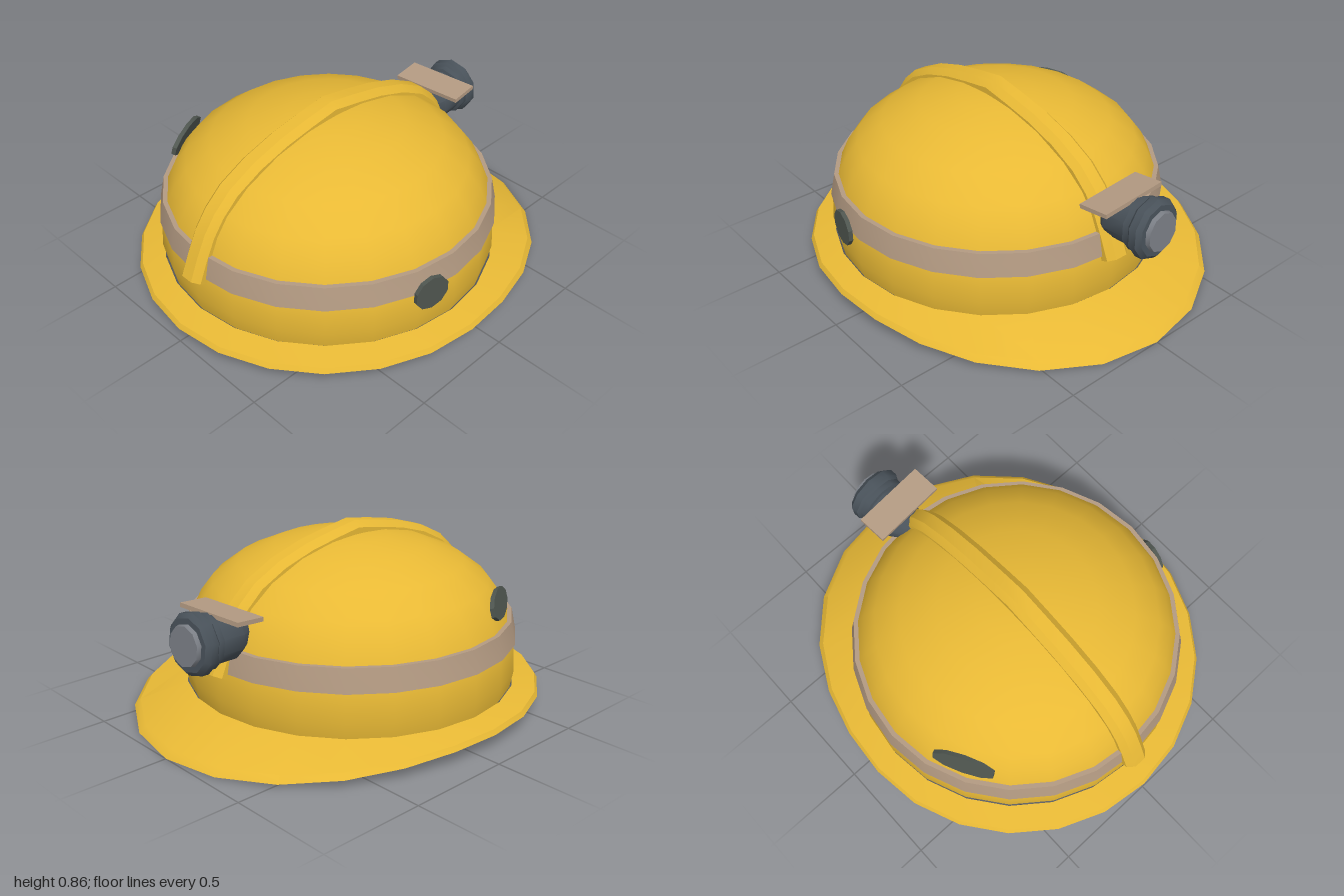
import * as THREE from 'three';
import { toCreasedNormals } from 'three/addons/utils/BufferGeometryUtils.js';

const material = (color, side = THREE.FrontSide) => new THREE.MeshStandardMaterial({ color, side });
const yellow = material(0xe8b935);
const tan = material(0xb39a82);
const dark = material(0x49525a);
const glass = material(0x7b7f86);
const patchGrey = material(0x4f5650);

const CENTRE_Z = 0.085;
const SIDES = 24;
const UP = new THREE.Vector3(0, 1, 0);

function lathe(points, sides) {
  return new THREE.LatheGeometry(points.map(([r, y]) => new THREE.Vector2(r, y)), sides);
}

function addMesh(parent, name, geometry, mat, crease = 0.5) {
  const mesh = new THREE.Mesh(toCreasedNormals(geometry, crease), mat);
  mesh.name = name;
  parent.add(mesh);
  return mesh;
}

// Brim: a turned ring, stretched and drooping towards the back
function brimGeometry() {
  const inner = 0.795, outer = 0.91;
  const geometry = lathe([[0, 0.1], [0.7, 0.1], [0.7, 0.075], [0.885, 0.073],
    [0.91, 0.088], [0.897, 0.11], [0.79, 0.13]], SIDES);
  const pos = geometry.attributes.position;
  for (let i = 0; i < pos.count; i++) {
    const x = pos.getX(i), z = pos.getZ(i), r = Math.hypot(x, z);
    if (r <= inner) continue;
    const t = (r - inner) / (outer - inner);
    const back = Math.max(0, -z / r) ** 2;
    const rx = inner + t * (outer * (1 + 0.2 * back) - inner);
    const rz = inner + t * (0.915 + 0.17 * back - inner);
    pos.setXYZ(i, x / r * rx, pos.getY(i) - 0.075 * t * back, z / r * rz);
  }
  return geometry;
}

// Crest: a chamfered section swept over the dome from front to back
function crestGeometry() {
  const half = [[0.845, 0.335], [0.8, 0.44], [0.75, 0.54], [0.69, 0.62], [0.6, 0.7],
    [0.46, 0.77], [0.3, 0.82], [0.15, 0.85]];
  const path = [...half, [0, 0.875], ...half.map(([z, y]) => [-z, y]).reverse()];
  const section = [[0.06, 0.065], [0.06, 0.03], [0.03, 0], [-0.03, 0], [-0.06, 0.03], [-0.06, 0.065]];
  const n = section.length, last = path.length - 1;
  const positions = [], index = [];
  path.forEach(([z, y], i) => {
    const a = path[Math.max(0, i - 1)], b = path[Math.min(last, i + 1)];
    const dz = b[0] - a[0], dy = b[1] - a[1], len = Math.hypot(dz, dy);
    for (const [x, depth] of section) {
      positions.push(x, y + dz / len * depth, z - dy / len * depth);
    }
  });
  for (let i = 0; i < last; i++) {
    for (let j = 0; j < n; j++) {
      const a = i * n + j, b = i * n + (j + 1) % n;
      index.push(a, a + n, b, b, a + n, b + n);
    }
  }
  for (let j = 1; j < n - 1; j++) {
    index.push(0, j, j + 1, last * n, last * n + j + 1, last * n + j);
  }
  const geometry = new THREE.BufferGeometry();
  geometry.setAttribute('position', new THREE.Float32BufferAttribute(positions, 3));
  geometry.setIndex(index);
  return geometry;
}

// Thin oval patch lying against the dome
function addPatch(parent, name, position, normal, width, height) {
  const geometry = new THREE.CylinderGeometry(1, 1, 0.02, 10).rotateX(Math.PI / 2);
  geometry.scale(width, height, 1);
  const patch = addMesh(parent, name, geometry, patchGrey);
  patch.position.set(...position);
  patch.lookAt(new THREE.Vector3(...position).add(new THREE.Vector3(...normal)));
}

export function createModel() {
  const model = new THREE.Group();
  model.name = 'helmet';

  // Shell
  const shell = new THREE.Group();
  shell.name = 'shell';
  shell.position.z = CENTRE_Z;
  model.add(shell);
  addMesh(shell, 'dome', lathe([[0.78, 0.12], [0.795, 0.2], [0.787, 0.33], [0.757, 0.43],
    [0.715, 0.52], [0.655, 0.6], [0.535, 0.69], [0.36, 0.765], [0.18, 0.805], [0, 0.82]], SIDES), yellow, 0.7);
  addMesh(shell, 'brim', brimGeometry(), yellow);
  addMesh(shell, 'crest', crestGeometry(), yellow);

  // Band around the dome
  addMesh(shell, 'band', lathe([[0.77, 0.335], [0.795, 0.335], [0.772, 0.443], [0.74, 0.443]], SIDES), tan);

  // Lamp at the back, pointing slightly up and sideways
  const lamp = new THREE.Group();
  lamp.name = 'lamp';
  lamp.position.set(-0.04, 0.505, -0.6);
  lamp.quaternion.setFromUnitVectors(UP, new THREE.Vector3(-0.07, 0.06, -1).normalize());
  model.add(lamp);
  addMesh(lamp, 'lampBody', lathe([[0, -0.02], [0.05, -0.01], [0.108, 0.08], [0.11, 0.2],
    [0.125, 0.205], [0.125, 0.235], [0.14, 0.25], [0.14, 0.285], [0.12, 0.305], [0.085, 0.305]], 10), dark, 0.7);
  addMesh(lamp, 'lampLens', lathe([[0.095, 0.3], [0.09, 0.325], [0, 0.325]], 10), glass, 0.7);

  // Plate over the lamp
  const plate = addMesh(model, 'lampPlate', new THREE.BoxGeometry(0.365, 0.02, 0.145), tan);
  plate.position.set(-0.033, 0.615, -0.703);
  plate.rotation.set(0.09, 0.08, 0);

  // Patches on the sides
  addPatch(model, 'leftPatch', [0.782, 0.32, 0.23], [0.98, 0, 0.18], 0.088, 0.083);
  addPatch(model, 'rightPatch', [-0.63, 0.538, 0.42], [-0.88, 0.27, 0.47], 0.15, 0.068);

  return model;
}
